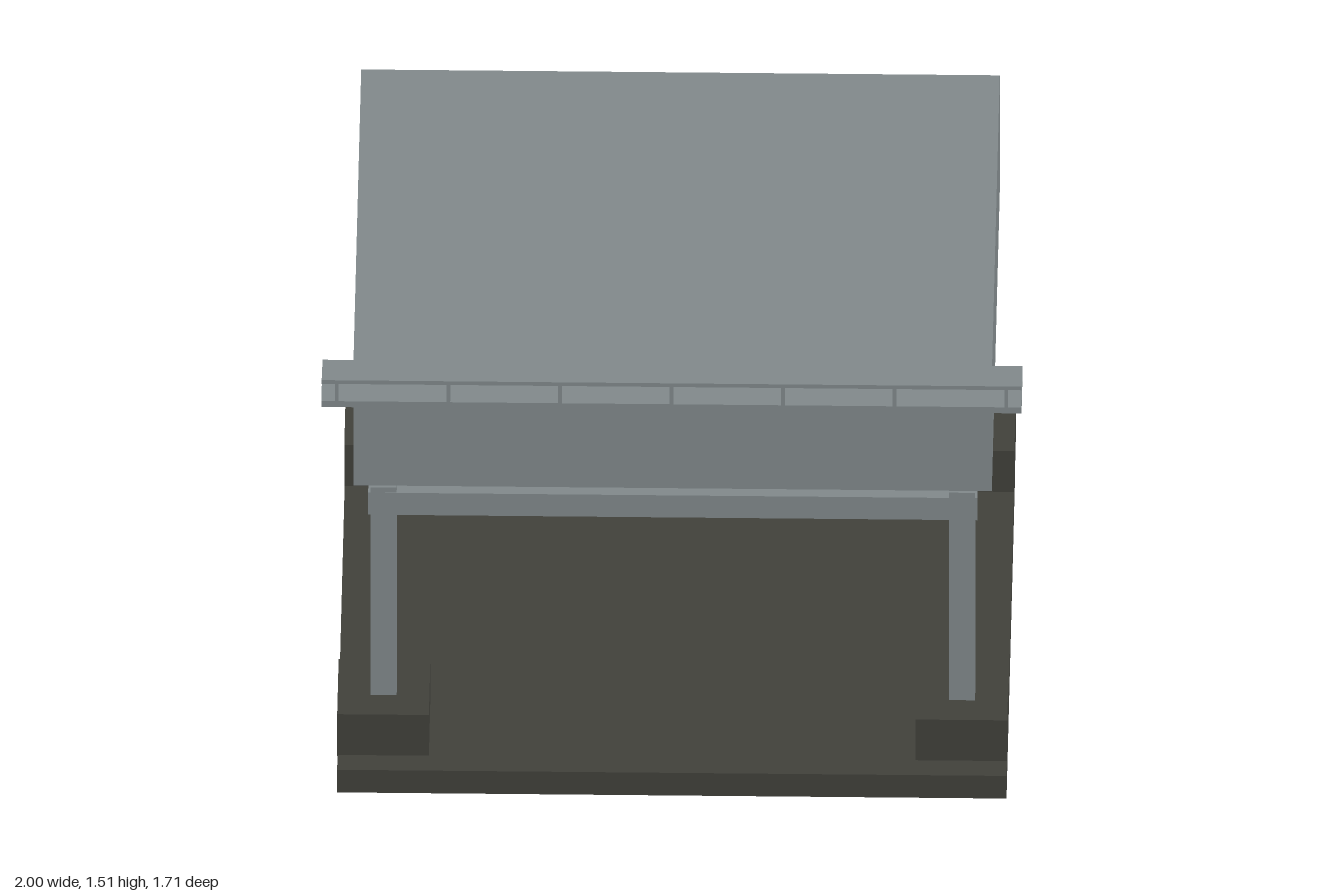
import * as THREE from 'three';

export function createModel() {
  const model = new THREE.Group();
  const steel = new THREE.MeshStandardMaterial({ color: 0x80888a });
  steel.name = 'grey steel';
  const concrete = new THREE.MeshStandardMaterial({ color: 0x40403a });
  concrete.name = 'dark concrete';

  // Box given by its extents along each axis
  function box(name, material, [x0, x1], [y0, y1], [z0, z1]) {
    const mesh = new THREE.Mesh(new THREE.BoxGeometry(x1 - x0, y1 - y0, z1 - z0), material);
    mesh.position.set((x0 + x1) / 2, (y0 + y1) / 2, (z0 + z1) / 2);
    mesh.name = name;
    model.add(mesh);
  }
  const around = (centre, width) => [centre - width / 2, centre + width / 2];

  // Ground slab
  box('baseSlab', concrete, [-0.956, 0.956], [0, 0.08], [-0.782, 0.785]);

  // Four footings and posts, joined by a ring of beams
  const postX = 0.826, frontZ = 0.58, backZ = -0.722, postSize = 0.075;
  for (const [end, z] of [['front', frontZ], ['back', backZ]]) {
    for (const [side, s] of [['Left', 1], ['Right', -1]]) {
      box(`${end}${side}Footing`, concrete, around(s * postX, 0.262), [0.076, 0.224], around(z, 0.266));
      box(`${end}${side}Post`, steel, around(s * postX, postSize), [0.224, 0.958], around(z, postSize));
    }
    box(`${end}Beam`, steel, [-0.87, 0.87], [0.862, 0.94], around(z, postSize + 0.002));
  }
  for (const [side, s] of [['left', 1], ['right', -1]]) {
    box(`${side}Beam`, steel, around(s * postX, postSize + 0.006), [0.862, 0.94],
      [backZ + postSize / 2, frontZ - postSize / 2]);
  }

  // Raised body with two stepped sections hanging beneath
  box('body', steel, [-0.912, 0.912], [0.99, 1.403], [-0.795, 0.652]);
  box('middleHopper', steel, [-0.602, 0.602], [0.696, 0.99], [-0.527, 0.386]);
  box('lowerHopper', steel, [-0.25, 0.25], [0.548, 0.696], [-0.291, 0.148]);

  // Front walkway with handrail
  box('walkway', steel, [-1, 1], [1.413, 1.434], [0.653, 0.853]);
  box('handrail', steel, [-1, 1], [1.495, 1.508], [0.843, 0.853]);
  for (let i = -3; i <= 3; i++) {
    box('railPost', steel, around(i * 0.3187, 0.011), [1.434, 1.495], [0.843, 0.853]);
  }
  return model;
}
